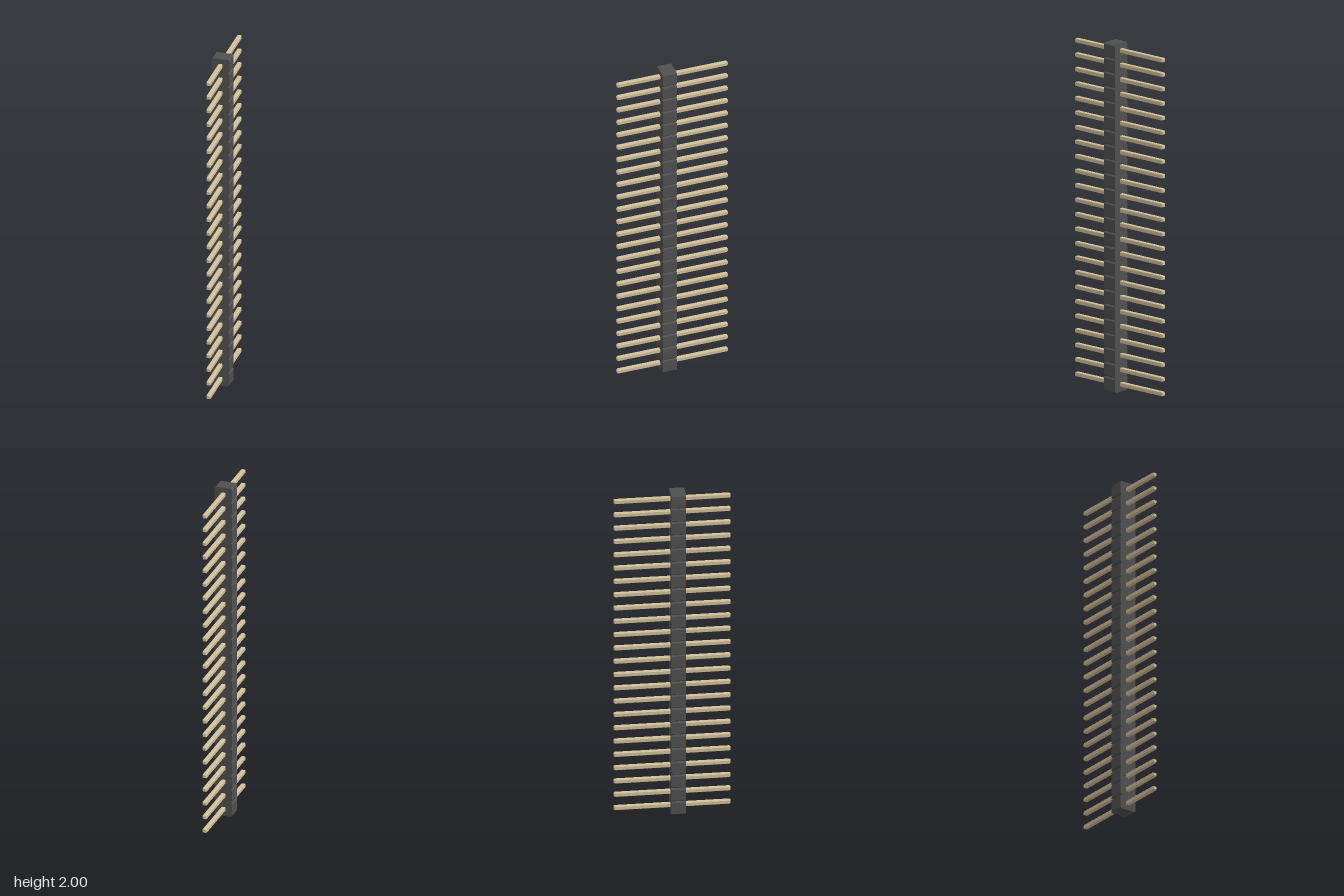
import * as THREE from 'three';

const COUNT = 24;
const PITCH = 2 / COUNT;

const shapeOf = (pts) => new THREE.Shape(pts.map(([x, y]) => new THREE.Vector2(x, y)));

// Housing: one outline with a chamfered notch at every joint, extruded along z
function housingGeometry() {
  const w = 0.052, c = 0.008;
  const right = [];
  for (let i = 0; i < COUNT; i++) {
    const y0 = i * PITCH, y1 = y0 + PITCH;
    if (i === 0) right.push([w - c, y0]);
    right.push([w, y0 + c], [w, y1 - c], [w - c, y1]);
  }
  const left = right.map(([x, y]) => [-x, y]).reverse();
  const geo = new THREE.ExtrudeGeometry(shapeOf([...right, ...left]), { depth: 0.083, bevelEnabled: false });
  return geo.translate(0, 0, -0.01);
}

// Pin: square bar with chamfered long edges and tapered tips
function pinGeometry() {
  const h = 0.012, k = h - 0.003, tip = 0.007, length = 0.652;
  const outline = shapeOf([[k, -h], [h, -k], [h, k], [k, h], [-k, h], [-h, k], [-h, -k], [-k, -h]]);
  const geo = new THREE.ExtrudeGeometry(outline, {
    depth: length - 2 * tip, bevelThickness: tip, bevelSize: 0.004, bevelOffset: -0.004, bevelSegments: 1,
  });
  return geo.translate(0, 0, tip - length / 2);
}

export function createModel() {
  const group = new THREE.Group();
  group.name = 'pinHeader';
  const plastic = new THREE.MeshStandardMaterial({ color: 0x505050, flatShading: true });
  const metal = new THREE.MeshStandardMaterial({ color: 0xd2c09a, flatShading: true });

  const housing = new THREE.Mesh(housingGeometry(), plastic);
  housing.name = 'housing';
  group.add(housing);

  // Row of pins, one through the middle of each housing segment
  const pinGeo = pinGeometry();
  for (let i = 0; i < COUNT; i++) {
    const pin = new THREE.Mesh(pinGeo, metal);
    pin.name = `pin${i + 1}`;
    pin.position.y = (i + 0.5) * PITCH;
    group.add(pin);
  }
  return group;
}
